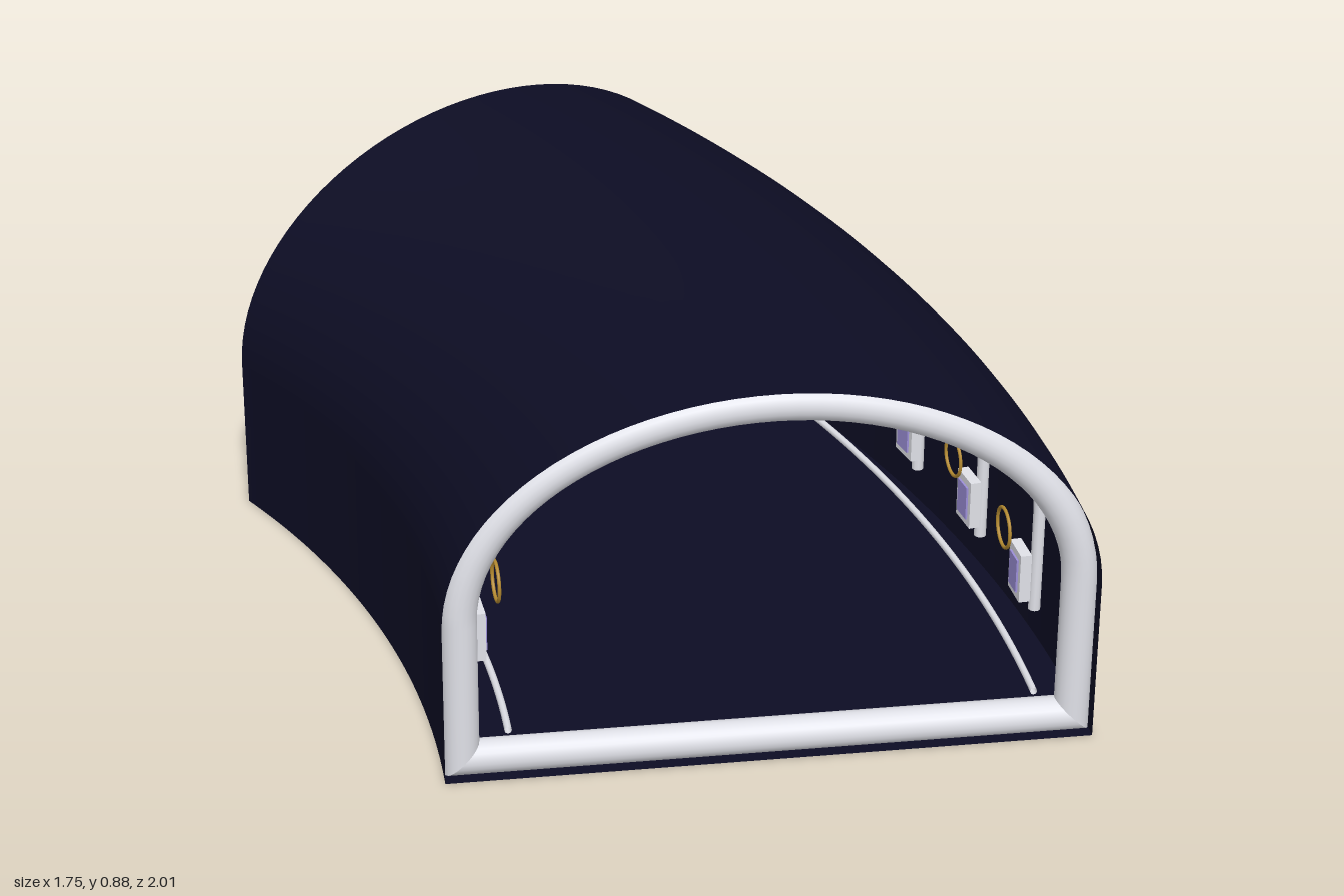
import * as THREE from 'three';

const R = 3.31, BEND = Math.PI / 6;           // centreline radius and bend angle
const HALF = 0.7, SPRING = 0.37, RISE = 0.505; // arch cross-section
const ARCH = 50;

const flat = (name, color, side = THREE.FrontSide) => {
  const m = new THREE.MeshStandardMaterial({ color, side });
  m.name = name;
  return m;
};

// Point i of the arch, moved inwards by d, with its legs starting at height base
function archPoint(i, d, base = d) {
  const w = HALF - d;
  if (i === 0) return [w, base];
  if (i === ARCH) return [-w, base];
  const a = ((i - 1) / (ARCH - 2)) * Math.PI;
  return [w * Math.cos(a), SPRING + (RISE - d) * Math.sin(a)];
}
const floorPoint = (i, d) => [(i ? 1 : -1) * (HALF - d), d];

// Grid surface from a function of two indices
function surface(nu, nv, fn) {
  const pos = [], idx = [];
  for (let i = 0; i <= nu; i++) for (let j = 0; j <= nv; j++) pos.push(...fn(i, j));
  for (let i = 0; i < nu; i++) for (let j = 0; j < nv; j++) {
    const a = i * (nv + 1) + j, b = a + nv + 1;
    idx.push(a, b, a + 1, b, b + 1, a + 1);
  }
  const g = new THREE.BufferGeometry();
  g.setAttribute('position', new THREE.Float32BufferAttribute(pos, 3));
  g.setIndex(idx);
  g.computeVertexNormals();
  return g;
}

// Round bar following a cross-section line; corners come out mitred
const bar = (n, point, inset, r, sides) => surface(n, sides, (i, j) => {
  const a = (j / sides) * Math.PI * 2;
  const [u, y] = point(i, inset - r * Math.cos(a));
  return [R + u, y, r * Math.sin(a)];
});

// Skin swept around the bend
const sweep = (n, point) => surface(n, 40, (i, j) => {
  const a = (j / 40) * BEND, [u, y] = point(i, 0);
  return [(R + u) * Math.cos(a), y, -(R + u) * Math.sin(a)];
});

export function createModel() {
  const navy = flat('navy shell', 0x0d0d24, THREE.DoubleSide);
  const white = flat('white trim', 0xe2e3ea, THREE.DoubleSide);
  const lilac = flat('lilac screen', 0x9c8fd8);
  const gold = flat('gold ring', 0xb48a30);

  const model = new THREE.Group();
  model.name = 'curvedTunnel';
  const bend = new THREE.Group();  // origin at the centre of the bend
  bend.name = 'bend';
  bend.position.set(-3.135, 0, 1);
  model.add(bend);

  const add = (parent, name, geometry, material, x = 0, y = 0, z = 0) => {
    const m = new THREE.Mesh(geometry, material);
    m.name = name;
    m.position.set(x, y, z);
    parent.add(m);
    return m;
  };
  const station = (name, angle) => {
    const g = new THREE.Group();
    g.name = name;
    g.rotation.y = angle;
    bend.add(g);
    return g;
  };

  // Outer skin and floor
  add(bend, 'shell', sweep(ARCH, archPoint), navy);
  add(bend, 'floor', sweep(1, floorPoint), navy);

  // Thick rounded frames at both ends
  const frameArch = bar(ARCH, archPoint, 0.0395, 0.038, 20);
  const frameSill = bar(1, floorPoint, 0.0395, 0.038, 20);
  for (const [name, angle, z] of [['frontFrame', 0, -0.0395], ['backFrame', BEND, 0.0395]]) {
    const g = station(name, angle);
    add(g, name + 'Arch', frameArch, white, 0, 0, z);
    add(g, name + 'Sill', frameSill, white, 0, 0, z);
  }

  // Slim ribs along the inside
  const rib = bar(ARCH, (i, d) => archPoint(i, d, 0.12), 0.036, 0.014, 10);
  for (let k = 1; k < 6; k++) add(station('rib' + k, (k / 6) * BEND), 'rib', rib, white);

  // Low rails on both sides
  for (const s of [-1, 1]) {
    const rail = new THREE.TorusGeometry(R + s * 0.565, 0.008, 8, 60, BEND);
    rail.rotateX(-Math.PI / 2);
    add(bend, s > 0 ? 'leftRail' : 'rightRail', rail, white, 0, 0.122, 0);
  }

  // Wall panels with a screen and a ring above, on both sides
  const panel = new THREE.BoxGeometry(0.025, 0.115, 0.08);
  const screen = new THREE.BoxGeometry(0.006, 0.08, 0.052);
  const ring = new THREE.TorusGeometry(0.045, 0.004, 8, 32);
  ring.rotateY(Math.PI / 2);
  for (let k = 0; k < 6; k++) {
    const g = station('panelStation' + (k + 1), ((k + 0.8) / 6) * BEND);
    for (const s of [-1, 1]) {
      add(g, 'panel', panel, white, R + s * 0.602, 0.263);
      add(g, 'screen', screen, lilac, R + s * 0.588, 0.263);
      add(g, 'ring', ring, gold, R + s * 0.56, 0.375);
    }
  }
  return model;
}
